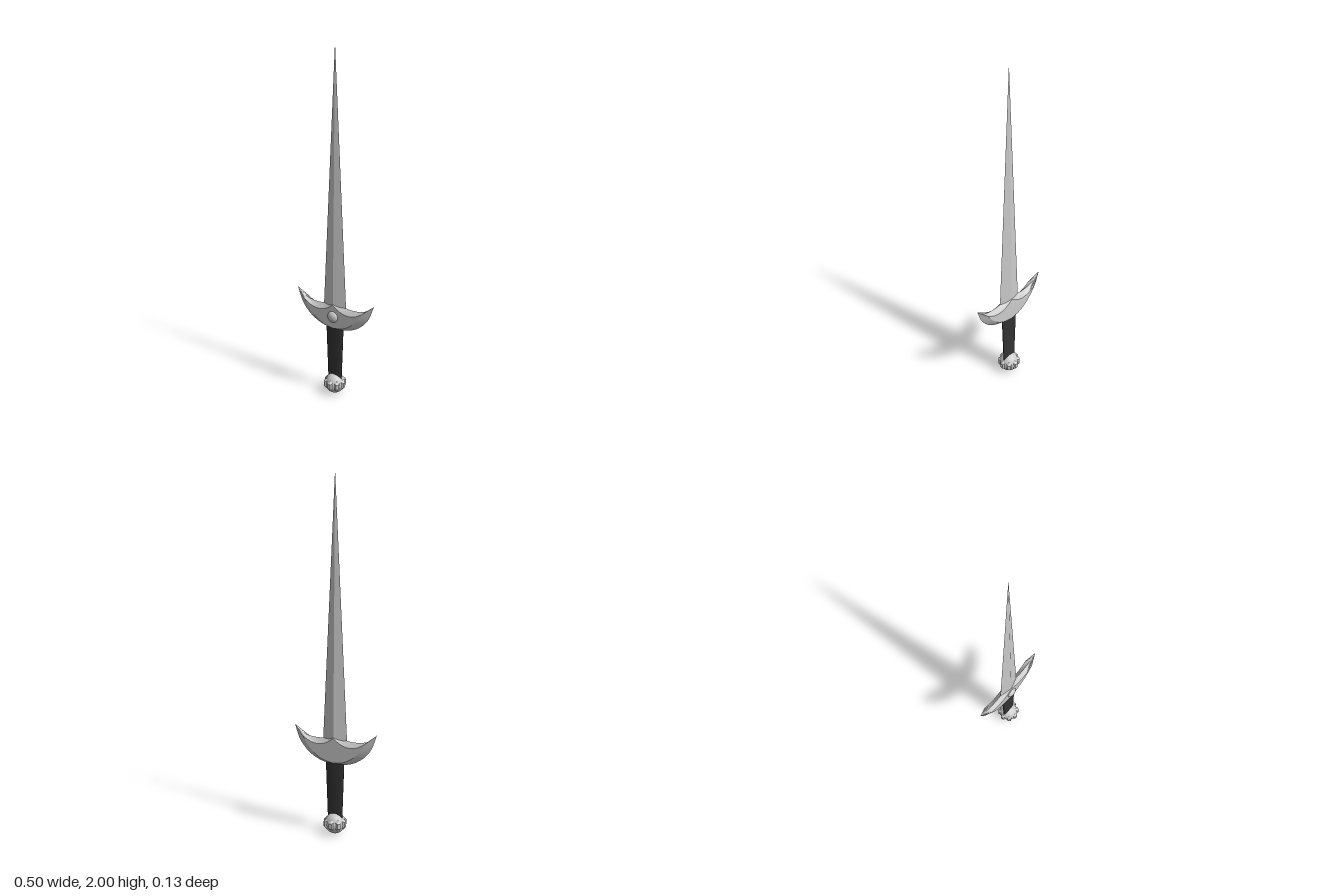
import * as THREE from 'three';
import { toCreasedNormals } from 'three/addons/utils/BufferGeometryUtils.js';
import { ConvexGeometry } from 'three/addons/geometries/ConvexGeometry.js';

const steel = new THREE.MeshStandardMaterial({ color: 0xcccccc });
const facetedSteel = new THREE.MeshStandardMaterial({ color: 0xcccccc, flatShading: true });
const grip = new THREE.MeshStandardMaterial({ color: 0x333333 });

function addMesh(parent, name, geometry, material, x = 0, y = 0, z = 0) {
  const mesh = new THREE.Mesh(geometry, material);
  mesh.name = name;
  mesh.position.set(x, y, z);
  parent.add(mesh);
  return mesh;
}

// Smooth curve through [x, y] points
const curve = (points) =>
  new THREE.CatmullRomCurve3(points.map(([x, y]) => new THREE.Vector3(x, y, 0)));

// Bevelled crescent: sharp rim at z = 0, raised flat faces at z = +-depth
function guardGeometry(depth = 0.024, steps = 14) {
  const rimLow = curve([[0, 0.405], [0.08, 0.414], [0.155, 0.45], [0.215, 0.515], [0.25, 0.605]]);
  const rimHigh = curve([[0, 0.58], [0.06, 0.553], [0.13, 0.547], [0.2, 0.563], [0.25, 0.605]]);
  const faceLow = curve([[0, 0.418], [0.06, 0.43], [0.11, 0.457], [0.155, 0.5], [0.19, 0.553]]);
  const faceHigh = curve([[0, 0.56], [0.045, 0.53], [0.09, 0.518], [0.14, 0.525], [0.19, 0.553]]);
  const ring = [[rimLow, 0], [faceLow, 1], [faceHigh, 1], [rimHigh, 0], [faceHigh, -1], [faceLow, -1]];
  const positions = [];
  const indices = [];
  for (let i = -steps; i <= steps; i++) {
    for (const [line, side] of ring) {
      const p = line.getPoint(Math.abs(i) / steps);
      positions.push(Math.sign(i) * p.x, p.y, side * depth);
    }
  }
  const n = ring.length;
  for (let i = 0; i < 2 * steps; i++) {
    for (let j = 0; j < n; j++) {
      const a = i * n + j;
      const d = i * n + ((j + 1) % n);
      indices.push(a, a + n, d + n, a, d + n, d);
    }
  }
  const geometry = new THREE.BufferGeometry();
  geometry.setAttribute('position', new THREE.Float32BufferAttribute(positions, 3));
  geometry.setIndex(indices);
  return toCreasedNormals(geometry, 0.35);
}

// Pointed six-sided stud, facing +z, with a smaller raised face
function studGeometry() {
  const points = [];
  const hexagon = (width, shoulder, tip, sideZ, tipZ) => {
    for (const s of [-1, 1]) {
      points.push(new THREE.Vector3(0, s * tip, tipZ));
      points.push(new THREE.Vector3(-width, s * shoulder, sideZ));
      points.push(new THREE.Vector3(width, s * shoulder, sideZ));
    }
  };
  hexagon(0.017, 0.024, 0.043, 0.045, 0.036);
  hexagon(0.009, 0.015, 0.029, 0.064, 0.053);
  return new ConvexGeometry(points);
}

export function createModel() {
  const dagger = new THREE.Group();
  dagger.name = 'dagger';

  // Diamond-section blade tapering to a point
  const blade = new THREE.CylinderGeometry(0, 0.077, 1.54, 4);
  blade.scale(1, 1, 0.3);
  addMesh(dagger, 'blade', blade, facetedSteel, 0, 1.23, 0);

  // Crescent guard with a gem on the front only
  addMesh(dagger, 'guard', guardGeometry(), steel);
  const gem = new THREE.SphereGeometry(0.033, 24, 16);
  gem.scale(1, 1, 0.6);
  addMesh(dagger, 'gem', gem, steel, 0, 0.488, 0.022);

  // Flat oval handle
  const handle = new THREE.CylinderGeometry(0.057, 0.045, 0.34, 24);
  handle.scale(1, 1, 0.24);
  addMesh(dagger, 'handle', handle, grip, 0, 0.26, 0);

  // Round pommel ringed by studs
  const pommel = new THREE.Group();
  pommel.name = 'pommel';
  pommel.position.y = 0.06;
  dagger.add(pommel);
  const ball = new THREE.SphereGeometry(0.056, 32, 20);
  ball.scale(1, 1.07, 1);
  addMesh(pommel, 'pommelBall', ball, steel);
  const stud = studGeometry();
  for (let i = 0; i < 8; i++) {
    addMesh(pommel, 'pommelStud', stud, facetedSteel).rotation.y = (i * Math.PI) / 4;
  }

  return dagger;
}
